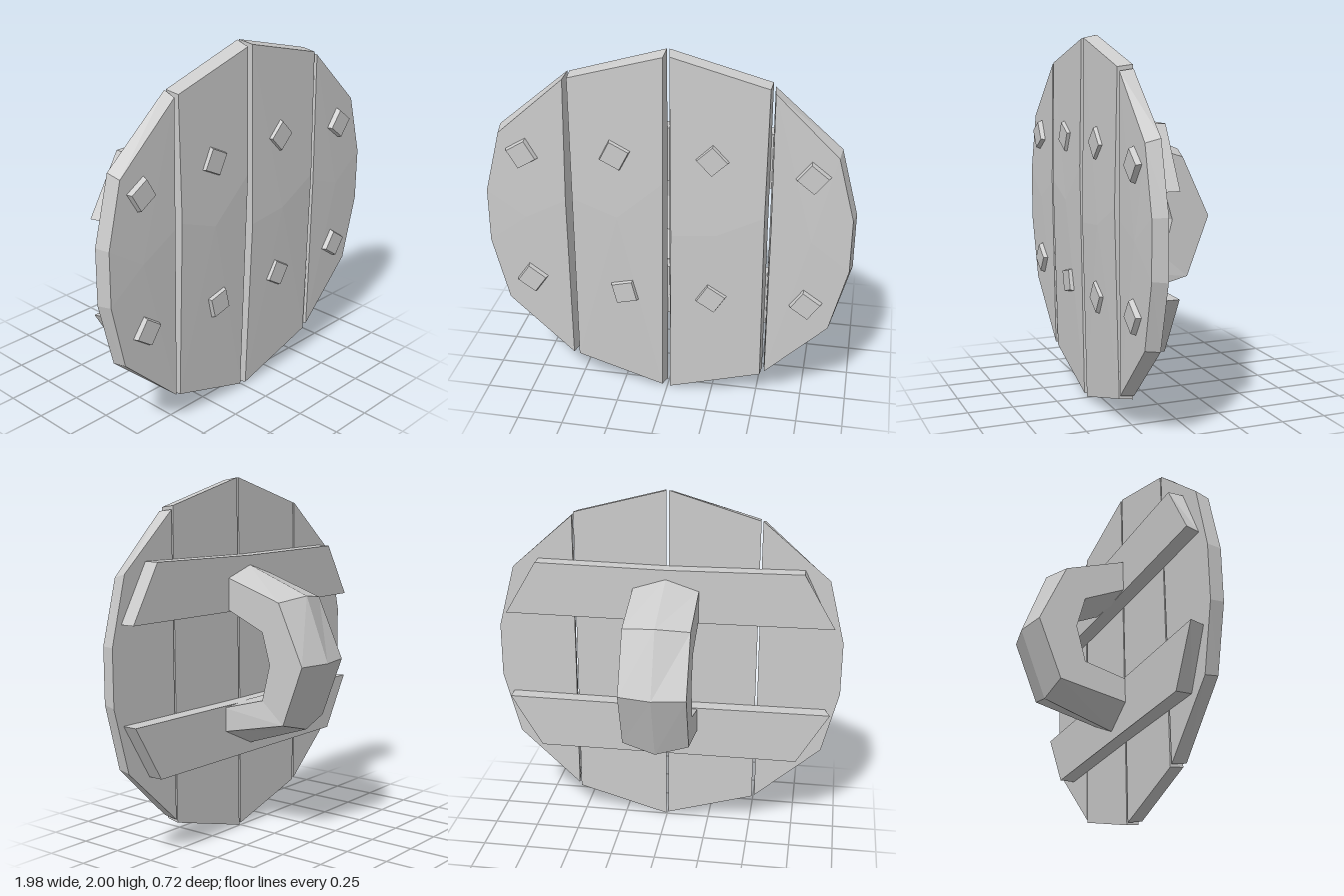
import * as THREE from 'three';

const material = new THREE.MeshStandardMaterial({ color: 0xcccccc, flatShading: true });

function addMesh(parent, name, geometry) {
  const mesh = new THREE.Mesh(geometry, material);
  mesh.name = name;
  parent.add(mesh);
  return mesh;
}

function fromTriangles(triangles) {
  const geometry = new THREE.BufferGeometry();
  geometry.setAttribute('position', new THREE.Float32BufferAttribute(triangles.flat(2), 3));
  geometry.computeVertexNormals();
  return geometry;
}

// Hewn slab; each row is one corner: back x, back y, front x, front y, front z (anticlockwise)
function slab(rows, backZ, crownZ) {
  const n = rows.length;
  const back = rows.map(r => [r[0], r[1], backZ]);
  const front = rows.map(r => [r[2], r[3], r[4]]);
  const mean = k => front.reduce((sum, p) => sum + p[k], 0) / n;
  const crown = [mean(0), mean(1), crownZ];
  const triangles = [];
  for (let i = 0; i < n; i++) {
    const j = (i + 1) % n;
    triangles.push([crown, front[i], front[j]]);
    triangles.push([back[i], back[j], front[j]], [back[i], front[j], front[i]]);
    if (i > 0 && j > 0) triangles.push([back[0], back[j], back[i]]);
  }
  return fromTriangles(triangles);
}

// Closed loft through rings with equal numbers of points
function loft(rings) {
  const n = rings[0].length, last = rings[rings.length - 1];
  const triangles = [];
  for (let i = 0; i + 1 < rings.length; i++) {
    for (let j = 0; j < n; j++) {
      const k = (j + 1) % n, a = rings[i], b = rings[i + 1];
      triangles.push([a[j], a[k], b[k]], [a[j], b[k], b[j]]);
    }
  }
  for (let j = 1; j + 1 < n; j++) {
    triangles.push([rings[0][0], rings[0][j + 1], rings[0][j]], [last[0], last[j], last[j + 1]]);
  }
  return fromTriangles(triangles);
}

export function createModel() {
  const shield = new THREE.Group();
  shield.name = 'woodenShield';

  // Four upright planks that make up the round face
  const planks = {
    outerRightPlank: [
      [-0.52, 1.85, -0.53, 1.83, 0.333], [-0.9, 1.53, -0.89, 1.51, 0.333], [-0.99, 1.17, -0.975, 1.17, 0.338],
      [-0.99, 0.86, -0.975, 0.87, 0.338], [-0.9, 0.5, -0.89, 0.51, 0.333], [-0.525, 0.17, -0.535, 0.18, 0.333],
      [-0.52, 1.15, -0.54, 1.15, 0.342]],
    innerRightPlank: [
      [-0.005, 2, -0.012, 1.98, 0.335], [-0.51, 1.85, -0.505, 1.84, 0.335], [-0.51, 1.17, -0.5, 1.17, 0.35],
      [-0.51, 0.16, -0.505, 0.17, 0.33], [-0.008, 0.01, -0.025, 0.02, 0.33], [-0.005, 1.3, -0.012, 1.3, 0.35]],
    innerLeftPlank: [
      [0.53, 1.86, 0.525, 1.85, 0.335], [0.008, 2, 0.022, 1.985, 0.335], [0.005, 1, 0.03, 1, 0.352],
      [0.005, 0, 0.018, 0.012, 0.33], [0.53, 0.15, 0.525, 0.16, 0.33], [0.53, 1.15, 0.52, 1.15, 0.35]],
    outerLeftPlank: [
      [0.54, 1.84, 0.55, 1.83, 0.333], [0.54, 1.1, 0.555, 1.1, 0.338], [0.54, 0.17, 0.55, 0.185, 0.333],
      [0.89, 0.5, 0.88, 0.51, 0.333], [0.985, 0.86, 0.97, 0.87, 0.335], [0.985, 1.17, 0.97, 1.17, 0.335],
      [0.89, 1.53, 0.88, 1.51, 0.333]]
  };
  const crowns = [0.343, 0.352, 0.354, 0.34];
  Object.entries(planks).forEach(([name, rows], i) => addMesh(shield, name, slab(rows, 0.255, crowns[i])));

  // Two cross battens on the back, shorter on their outer edge
  const zf = 0.256;
  addMesh(shield, 'upperBatten', slab([
    [-0.94, 1.28, -0.91, 1.28, zf], [0, 1.275, 0, 1.275, zf], [0.92, 1.28, 0.92, 1.28, zf],
    [0.74, 1.585, 0.74, 1.585, zf], [0, 1.575, 0, 1.575, zf], [-0.76, 1.585, -0.76, 1.585, zf]], 0.17, zf));
  addMesh(shield, 'lowerBatten', slab([
    [-0.76, 0.455, -0.76, 0.455, zf], [0, 0.46, 0, 0.46, zf], [0.74, 0.455, 0.74, 0.455, zf],
    [0.92, 0.76, 0.92, 0.76, zf], [0, 0.755, 0, 0.755, zf], [-0.94, 0.76, -0.91, 0.76, zf]], 0.17, zf));

  // Arched grip with a six-sided section: outer ridge, outer edge, inner edge, inner ridge (z, y), left half-width
  const sections = [
    [[0.18, 1.525], [0.18, 1.465], [0.18, 1.29], [0.18, 1.275], 0.185],
    [[-0.22, 1.375], [-0.17, 1.35], [-0.06, 1.185], [-0.045, 1.17], 0.185],
    [[-0.36, 1.02], [-0.325, 1.02], [-0.11, 1.01], [-0.07, 1.01], 0.185],
    [[-0.22, 0.64], [-0.2, 0.69], [-0.06, 0.81], [-0.03, 0.83], 0.185],
    [[0.18, 0.505], [0.18, 0.61], [0.18, 0.745], [0.18, 0.76], 0.22]
  ];
  addMesh(shield, 'grip', loft(sections.map(([ridge, edge, inEdge, inRidge, w]) => {
    const at = (x, [z, y]) => [x, y, z];
    return [at(0, ridge), at(w, edge), at(w, inEdge), at(0, inRidge), at(-0.185, inEdge), at(-0.185, edge)];
  })));

  // Square nail heads: x, y, turn in degrees
  const nails = [
    [-0.765, 1.405, 31], [-0.265, 1.44, -27], [0.245, 1.45, 44], [0.757, 1.395, -38],
    [-0.747, 0.657, -35], [-0.228, 0.625, 14], [0.248, 0.635, -32], [0.755, 0.65, -35]
  ];
  nails.forEach(([x, y, turn], i) => {
    const head = new THREE.CylinderGeometry(0.08, 0.094, 0.04, 4);
    head.rotateX(Math.PI / 2).rotateZ(Math.PI / 4 + THREE.MathUtils.degToRad(turn));
    addMesh(shield, 'nailHead' + (i + 1), head).position.set(x, y, 0.343);
  });

  return shield;
}
